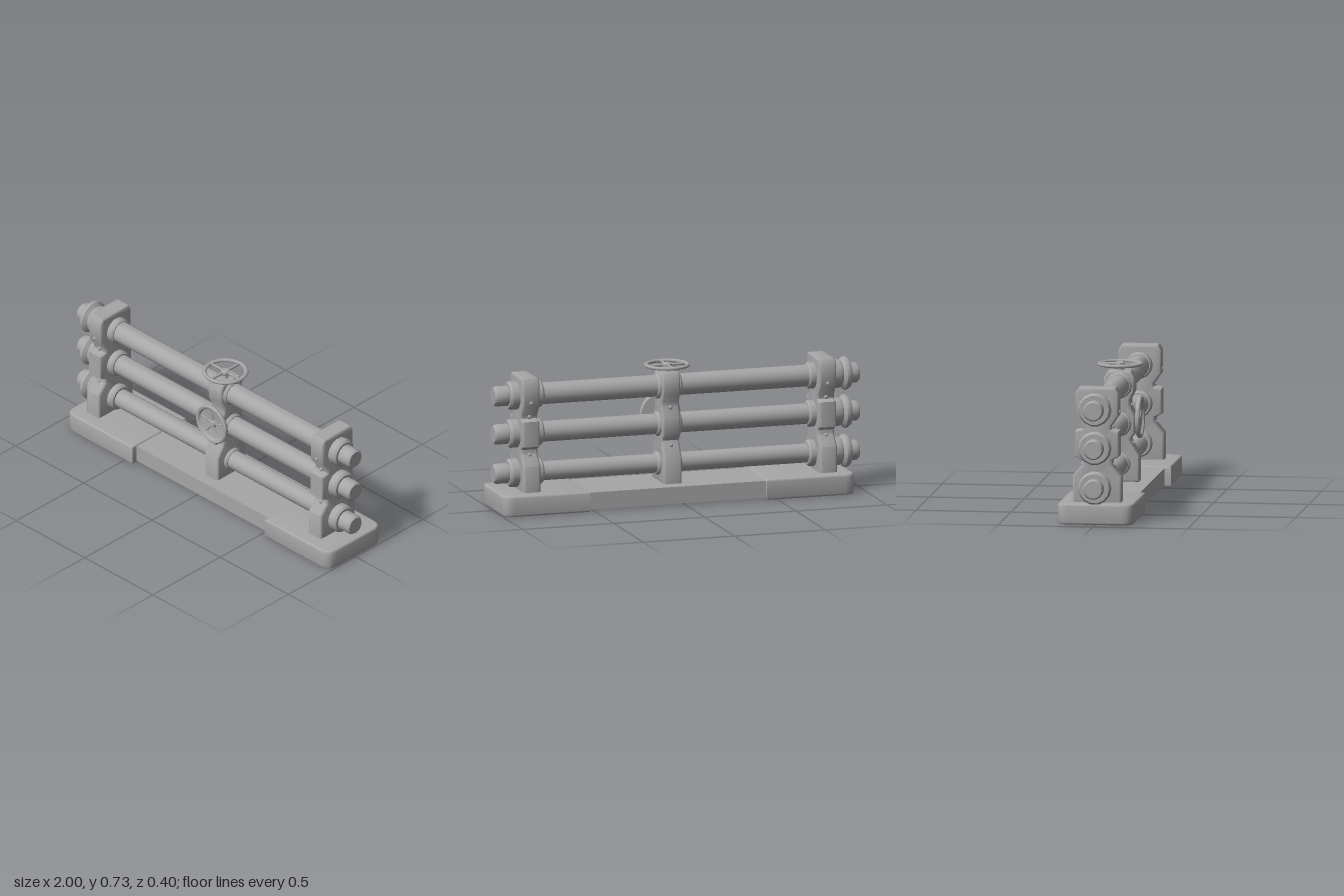
import * as THREE from 'three';
import { toCreasedNormals } from 'three/addons/utils/BufferGeometryUtils.js';

const steel = new THREE.MeshStandardMaterial({ color: 0xa6a6a6 });
steel.name = 'grey steel';

const PIPES = [0.195, 0.405, 0.608];
const MID = 0.045; // x of the centre support

function add(parent, name, geometry, x = 0, y = 0, z = 0) {
  const mesh = new THREE.Mesh(geometry, steel);
  mesh.name = name;
  mesh.position.set(x, y, z);
  parent.add(mesh);
  return mesh;
}

// Turned solid from [radius, height] points, axis along y
function turned(points, sides = 14) {
  const geo = new THREE.LatheGeometry(points.map(([r, h]) => new THREE.Vector2(r, h)), sides);
  return toCreasedNormals(geo, 0.6);
}

// Turned solid along x, from [radius, x] points
const turnedX = (points, sides) => turned(points, sides).rotateZ(-Math.PI / 2);

// Bevelled slab from a shape, depth measured over the bevels
function slab(shape, depth, bevel) {
  const geo = new THREE.ExtrudeGeometry(shape, {
    depth: depth - 2 * bevel, bevelSize: bevel, bevelThickness: bevel,
    bevelOffset: -bevel, bevelSegments: 3, curveSegments: 6,
  });
  geo.translate(0, 0, bevel - depth / 2);
  return toCreasedNormals(geo, 0.7);
}

// Upright whose outline is mirrored from [half width, y] points
function upright(half, depth) {
  const pts = half.map(([w, y]) => new THREE.Vector2(w, y));
  const other = half.map(([w, y]) => new THREE.Vector2(-w, y)).reverse();
  return slab(new THREE.Shape([...pts, ...other]), depth, 0.012).rotateY(Math.PI / 2);
}

// Foot plan with two rounded outer corners; side is +1 or -1
function foot(inner, outer, side) {
  const r = 0.06, w = 0.2, s = new THREE.Shape();
  const a = inner * side, b = outer * side;
  s.moveTo(a, -w);
  s.lineTo(b - r, -w);
  s.quadraticCurveTo(b, -w, b, -w + r);
  s.lineTo(b, w - r);
  s.quadraticCurveTo(b, w, b - r, w);
  s.lineTo(a, w);
  s.closePath();
  const geo = slab(s, 0.11, 0.012).rotateX(-Math.PI / 2);
  return side < 0 ? geo.rotateY(Math.PI) : geo;
}

function addBase(group) {
  const base = new THREE.Group();
  base.name = 'base';
  group.add(base);
  add(base, 'leftFoot', foot(0.53, 1.0, 1), 0, 0.055);
  add(base, 'rightFoot', foot(-0.44, -0.93, -1), 0, 0.055);
  add(base, 'basePlate', new THREE.BoxGeometry(1.06, 0.09, 0.348), 0.05, 0.056, -0.007);
}

function addPipe(group, y, i) {
  const pipe = new THREE.Group();
  pipe.name = 'pipe' + (i + 1);
  pipe.position.y = y;
  group.add(pipe);
  const r = [0.05, 0.054, 0.057][i];
  add(pipe, 'tube', turnedX([[0, -0.9], [r, -0.9], [r, 0.9], [0, 0.9]], 18));
  // Right end: flange and cap
  add(pipe, 'flangedEnd', turnedX([
    [0, -1], [0.046, -1], [0.053, -0.99], [0.053, -0.95], [0.078, -0.95], [0.088, -0.935],
    [0.088, -0.92], [0.068, -0.905], [0.075, -0.895], [0.075, -0.83], [0, -0.83]]));
  // Left end: collar and plug
  add(pipe, 'plugEnd', turnedX([
    [0, 0.85], [0.075, 0.85], [0.075, 0.91], [0.066, 0.922], [0.053, 0.922],
    [0.053, 0.988], [0.045, 1], [0, 1]]));
  // Collars beside the supports
  const collar = (x, half, rad) => add(pipe, 'collar', turnedX([
    [0, -half], [rad - 0.008, -half], [rad, 0.01 - half], [rad, half - 0.01], [rad - 0.008, half], [0, half]]), x);
  collar(-0.75, 0.032, 0.07);
  collar(0.77, 0.035, 0.07);
  collar(MID, 0.067, r + 0.012);
}

function addBolts(group, x, spots) {
  for (const [y, z] of spots) {
    for (const side of [1, -1]) {
      const bolt = add(group, 'bolt', new THREE.SphereGeometry(0.011, 10, 6), x, y, z * side);
      bolt.scale.z = 0.8;
    }
  }
}

function addSupports(group) {
  const endOutline = [
    [0.128, 0.1], [0.128, 0.248], [0.08, 0.305], [0.08, 0.33], [0.116, 0.35], [0.116, 0.484],
    [0.076, 0.495], [0.076, 0.51], [0.113, 0.565], [0.113, 0.685], [0.095, 0.712]];
  for (const [name, x] of [['rightSupport', -0.802], ['leftSupport', 0.825]]) {
    const support = new THREE.Group();
    support.name = name;
    group.add(support);
    add(support, 'upright', upright(endOutline, 0.094), x);
    addBolts(support, x, [[0.302, 0.082], [0.503, 0.078], [0.582, 0.112]]);
  }
  // Slimmer support at the centre
  const centre = new THREE.Group();
  centre.name = 'centreSupport';
  group.add(centre);
  const outline = [
    [0.105, 0.1], [0.105, 0.24], [0.068, 0.3], [0.06, 0.325], [0.082, 0.355], [0.082, 0.45],
    [0.058, 0.5], [0.058, 0.53], [0.08, 0.575], [0.08, 0.65], [0.06, 0.682]];
  add(centre, 'upright', upright(outline, 0.1), MID);
  addBolts(centre, MID, [[0.3, 0.07], [0.5, 0.06]]);
}

// Spoked wheel on top, lying flat
function addTopWheel(group) {
  const wheel = new THREE.Group();
  wheel.name = 'topWheel';
  wheel.position.set(MID, 0.716, 0);
  group.add(wheel);
  const rim = add(wheel, 'rim', new THREE.TorusGeometry(0.109, 0.012, 8, 32).rotateX(Math.PI / 2));
  rim.scale.y = 0.8;
  for (let i = 0; i < 2; i++) {
    const spoke = add(wheel, 'spokes', new THREE.CylinderGeometry(0.007, 0.007, 0.216, 8).rotateZ(Math.PI / 2));
    spoke.rotation.y = i * Math.PI / 2;
  }
  add(wheel, 'hub', turned([
    [0, -0.05], [0.02, -0.05], [0.015, -0.02], [0.024, -0.01], [0.024, 0.006], [0.016, 0.012], [0, 0.012]]));
}

// Dished wheel on the front
function addFrontWheel(group) {
  const wheel = new THREE.Group();
  wheel.name = 'frontWheel';
  wheel.position.set(MID + 0.004, 0.438, 0.1);
  group.add(wheel);
  add(wheel, 'dish', turned([
    [0, -0.014], [0.06, -0.012], [0.105, -0.008], [0.111, 0], [0.111, 0.01], [0.104, 0.016],
    [0.092, 0.013], [0.086, 0.003], [0.03, -0.006], [0, -0.006]], 28).rotateX(Math.PI / 2));
  for (let i = 0; i < 5; i++) {
    const a = Math.PI / 2 + i * Math.PI * 2 / 5;
    const spoke = add(wheel, 'spoke', new THREE.CylinderGeometry(0.004, 0.005, 0.09, 8),
      Math.cos(a) * 0.045, Math.sin(a) * 0.045, -0.001);
    spoke.rotation.z = a - Math.PI / 2;
  }
  add(wheel, 'hub', turned([
    [0, -0.04], [0.022, -0.04], [0.022, 0], [0.016, 0.009], [0, 0.011]]).rotateX(Math.PI / 2));
}

export function createModel() {
  const group = new THREE.Group();
  group.name = 'pipeRack';
  addBase(group);
  PIPES.forEach((y, i) => addPipe(group, y, i));
  addSupports(group);
  addTopWheel(group);
  addFrontWheel(group);
  return group;
}
